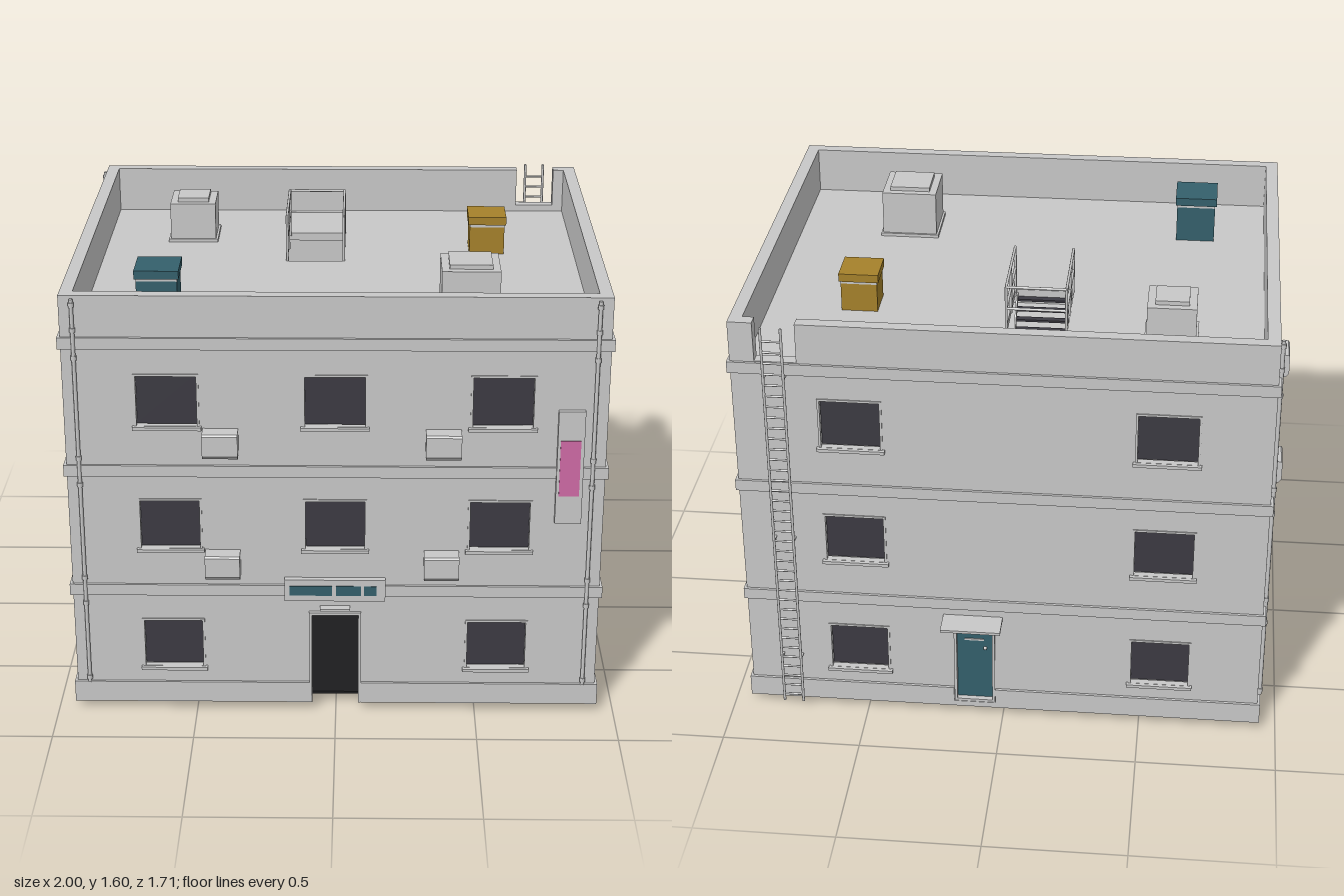
import * as THREE from 'three';

const mat = (name, color) => {
  const m = new THREE.MeshStandardMaterial({ color });
  m.name = name;
  return m;
};
const grey = mat('concrete grey', 0xc8c8c8);
const dark = mat('dark glass', 0x3c3a42);
const teal = mat('teal paint', 0x34606c);
const mustard = mat('mustard paint', 0xa5812a);
const pink = mat('pink sign', 0xcf6aa5);
const black = mat('black underside', 0x1c1c1e);

const add = (parent, name, geo, material, x = 0, y = 0, z = 0) => {
  const m = new THREE.Mesh(geo, material);
  m.name = name;
  m.position.set(x, y, z);
  parent.add(m);
  return m;
};
// Box given by its limits on each axis
const box = (p, name, material, x0, x1, y0, y1, z0, z1) =>
  add(p, name, new THREE.BoxGeometry(x1 - x0, y1 - y0, z1 - z0), material, (x0 + x1) / 2, (y0 + y1) / 2, (z0 + z1) / 2);
// Round bar between two points
const bar = (p, name, a, b, r, material = grey) => {
  const A = new THREE.Vector3(...a), B = new THREE.Vector3(...b), d = B.clone().sub(A);
  const m = add(p, name, new THREE.CylinderGeometry(r, r, d.length(), 8), material);
  m.position.copy(A).add(B).multiplyScalar(0.5);
  m.quaternion.setFromUnitVectors(new THREE.Vector3(0, 1, 0), d.normalize());
  return m;
};
const shapeOf = pts => new THREE.Shape(pts.map(p => new THREE.Vector2(...p)));
const rect = (x0, x1, y0, y1) => [[x0, y0], [x1, y0], [x1, y1], [x0, y1]];
const extrude = (shape, depth) => new THREE.ExtrudeGeometry(shape, { depth, bevelEnabled: false });
const frame = (p, name, x0, x1, y0, y1, z0, z1, w) => {
  const s = shapeOf(rect(x0, x1, y0, y1));
  s.holes.push(new THREE.Path(rect(x0 + w, x1 - w, y0 + w, y1 - w).map(q => new THREE.Vector2(...q))));
  add(p, name, extrude(s, z1 - z0), grey, 0, 0, z0);
};

const T = 0.045, BASE = 0.03, TOP = 1.58, W = 0.215, H = 0.19, CZ = 0.015;
const SILLS = [0.17, 0.64, 1.105];

// Facade in local space: u across, y up, z = 0 on the outer wall surface
function facade(parent, name, angle, dist, outline, windows, holes = []) {
  const pivot = new THREE.Group(), g = new THREE.Group();
  pivot.name = name;
  pivot.position.z = CZ;
  pivot.rotation.y = angle;
  g.position.z = dist;
  pivot.add(g);
  parent.add(pivot);
  const s = shapeOf(outline);
  const rects = windows.map(([u, y]) => rect(u - W / 2, u + W / 2, y, y + H)).concat(holes);
  for (const r of rects) s.holes.push(new THREE.Path(r.map(q => new THREE.Vector2(...q))));
  add(g, name + 'Wall', extrude(s, T), grey, 0, 0, -T);
  for (const [u, y] of windows) {
    box(g, 'windowGlass', dark, u - W / 2, u + W / 2, y, y + H, -0.036, -0.028);
    frame(g, 'windowFrame', u - W / 2 - 0.004, u + W / 2 + 0.004, y - 0.004, y + H + 0.004, -0.02, 0.004, 0.008);
    box(g, 'windowSill', grey, u - W / 2 - 0.011, u + W / 2 + 0.011, y - 0.009, y + 0.003, -0.02, 0.017);
  }
  return g;
}
function bands(g, half, gap) {
  for (const y of [0.46, 0.92, 1.39]) box(g, 'floorBand', grey, -half, half, y, y + 0.042, 0, 0.01);
  const parts = gap ? [[-half, gap[0]], [gap[1], half]] : [[-half, half]];
  for (const [a, b] of parts) box(g, 'plinth', grey, a, b, BASE, 0.11, 0, 0.01);
}
function coolingUnit(g, u, y, depth) {
  const s = shapeOf([[0, 0], [depth - 0.012, 0], [depth, 0.014], [depth, 0.086], [depth - 0.005, 0.093], [0, 0.093]]);
  add(g, 'coolingUnit', extrude(s, 0.122), grey, u + 0.061, y, 0).rotation.y = -Math.PI / 2;
}
function drainPipe(g, u) {
  bar(g, 'drainPipe', [u, 0.11, 0.009], [u, 1.57, 0.009], 0.007);
  for (const y of [0.13, 0.43, 0.53, 0.89, 0.99, 1.36, 1.46, 1.55])
    add(g, 'pipeCollar', new THREE.CylinderGeometry(0.01, 0.01, 0.016, 10), grey, u, y, 0.009);
}

// Storage crate with a lid and a pale seam
function crate(p, name, material, x0, x1, y0, y1, z0, z1) {
  const i = 0.006;
  box(p, name + 'Body', material, x0 + i, x1 - i, y0, y1 - 0.04, z0 + i, z1 - i);
  box(p, name + 'Seam', grey, x0 + i, x1 - i, y1 - 0.04, y1 - 0.03, z0 + i, z1 - i);
  box(p, name + 'Lid', material, x0, x1, y1 - 0.03, y1, z0, z1);
}
// Roof vent with base flange and raised cap
function vent(p, x0, x1, y1, z0, z1) {
  const i = 0.008;
  box(p, 'ventFlange', grey, x0, x1, 1.41, 1.422, z0, z1);
  box(p, 'ventBody', grey, x0 + i, x1 - i, 1.42, y1 - 0.015, z0 + i, z1 - i);
  box(p, 'ventCap', grey, x0 + 0.035, x1 - 0.035, y1 - 0.016, y1, z0 + 0.035, z1 - 0.035);
}

export function createModel() {
  const root = new THREE.Group();
  root.name = 'apartmentBlock';

  // Front with the entrance opening
  const cols = [-0.578, -0.002, 0.572];
  const frontWin = SILLS.flatMap((y, i) => cols.filter((_, c) => i || c !== 1).map(u => [u, y]));
  const front = facade(root, 'front', 0, 0.775,
    [[-0.93, BASE], [-0.085, BASE], [-0.085, 0.385], [0.08, 0.385], [0.08, BASE], [0.93, BASE], [0.93, TOP], [-0.93, TOP]], frontWin);
  bands(front, 0.94, [-0.095, 0.09]);
  for (const u of [-0.395, 0.37]) for (const y of [0.545, 1.007]) coolingUnit(front, u, y, 0.063);
  for (const u of [-0.885, 0.885]) drainPipe(front, u);
  for (const u of [-0.095, 0.08]) box(front, 'entranceJamb', grey, u, u + 0.01, BASE, 0.385, -T, 0.012);
  box(front, 'entranceLintel', grey, -0.095, 0.09, 0.385, 0.395, -T, 0.012);
  box(front, 'entranceLamp', grey, -0.055, 0.05, 0.411, 0.419, 0, 0.03);
  box(front, 'entranceSign', grey, -0.18, 0.175, 0.447, 0.53, 0, 0.022);
  for (const [a, b] of [[-0.163, -0.013], [0.002, 0.09], [0.1, 0.144]])
    box(front, 'entranceSignPanel', teal, a, b, 0.47, 0.507, 0.02, 0.025);
  box(front, 'verticalSign', grey, 0.76, 0.852, 0.755, 1.175, 0, 0.02);
  box(front, 'verticalSignPanel', pink, 0.77, 0.84, 0.86, 1.068, 0.018, 0.023);

  // Back with door, canopy, ladder and parapet gap
  const back = facade(root, 'back', Math.PI, 0.775,
    [[-0.93, BASE], [0.93, BASE], [0.93, TOP], [-0.7, TOP], [-0.7, 1.435], [-0.845, 1.435], [-0.845, TOP], [-0.93, TOP]],
    SILLS.flatMap(y => [[-0.525, y], [0.57, y]]), [rect(-0.172, -0.035, 0.06, 0.38)]);
  bands(back, 0.94, [-0.18, -0.028]);
  box(back, 'backDoor', teal, -0.172, -0.035, 0.06, 0.38, -0.035, -0.012);
  frame(back, 'backDoorFrame', -0.178, -0.029, 0.052, 0.388, -T, 0.008, 0.01);
  box(back, 'doorWindow', grey, -0.14, -0.07, 0.315, 0.322, -0.014, -0.008);
  for (const z of [-0.006, -0.041]) add(back, 'doorKnob', new THREE.SphereGeometry(0.007, 10, 8), grey, -0.065, 0.285, z);
  box(back, 'doorStep', grey, -0.18, -0.028, BASE, 0.052, -T, 0.01);
  box(back, 'doorCanopy', grey, -0.215, 0, 0.42, 0.43, 0, 0.1);
  for (const u of [-0.81, -0.74]) {
    bar(back, 'ladderRail', [u, BASE, 0.035], [u, TOP, 0.035], 0.005);
    for (const y of [0.22, 0.73, 1.385]) bar(back, 'ladderBracket', [u, y, 0], [u, y, 0.035], 0.004);
  }
  for (let y = 0.06; y < 1.56; y += 0.042) bar(back, 'ladderRung', [-0.81, y, 0.035], [-0.74, y, 0.035], 0.004);

  // Sides
  for (const s of [1, -1]) {
    const h = 0.775 - T;
    const side = facade(root, s > 0 ? 'leftSide' : 'rightSide', s * Math.PI / 2, 0.93, rect(-h, h, BASE, TOP),
      SILLS.flatMap(y => [[-s * 0.42, y], [s * 0.36, y]]));
    bands(side, 0.775);
    for (const y of [0.545, 1.01]) coolingUnit(side, -s * 0.125, y, 0.07);
    if (s < 0) drainPipe(side, -0.715);
  }

  // Floors and roof with a stair opening
  box(root, 'groundFloor', black, -0.89, 0.89, 0.036, 0.046, -0.72, 0.75);
  for (const y of [0.48, 0.94, 1.41]) {
    const s = shapeOf(rect(-0.89, 0.89, -0.75, 0.72));
    s.holes.push(new THREE.Path(rect(-0.195, 0.02, 0.08, 0.42).map(q => new THREE.Vector2(...q))));
    add(root, y > 1 ? 'roof' : 'floorSlab', extrude(s, 0.03), grey, 0, y - 0.03, 0).rotation.x = -Math.PI / 2;
  }

  // Stair flights
  for (let f = 0; f < 3; f++) {
    const y0 = f * 0.465, n = 16;
    const s = shapeOf([[-0.53, 0], [-0.11, 0.43], [-0.085, 0.47], [-0.11, 0.47], [-0.558, 0.03]]);
    for (const x of [-0.183, 0.013])
      add(root, 'stairStringer', extrude(s, 0.006), grey, x, y0, 0).rotation.y = -Math.PI / 2;
    for (let i = 0; i < n; i++) {
      const z = -0.53 + i * 0.028, y = y0 + 0.05 + i * 0.027;
      box(root, 'stairTread', dark, -0.183, 0.007, y - 0.008, y, z, z + 0.026);
    }
  }

  // Guard rail around the stair opening
  const zs = [-0.415, -0.25, -0.085];
  for (const x of [-0.193, 0.018]) {
    for (const z of zs) bar(root, 'guardPost', [x, 1.4, z], [x, 1.583, z], 0.005);
    for (const y of [1.5, 1.583]) bar(root, 'guardRail', [x, y, zs[0]], [x, y, zs[2]], 0.005);
  }
  for (const y of [1.5, 1.583]) bar(root, 'guardRail', [-0.193, y, zs[0]], [0.018, y, zs[0]], 0.005);

  // Roof equipment and crates inside the entrance
  vent(root, 0.355, 0.575, 1.6, 0.332, 0.553);
  vent(root, -0.655, -0.467, 1.575, -0.49, -0.3);
  crate(root, 'tealCrate', teal, -0.7, -0.545, 1.41, 1.585, 0.395, 0.553);
  crate(root, 'mustardCrate', mustard, 0.485, 0.627, 1.41, 1.555, -0.31, -0.167);
  crate(root, 'hallTealCrate', teal, -0.45, -0.28, 0.046, 0.24, 0.36, 0.53);
  crate(root, 'hallMustardCrate', mustard, -0.17, -0.03, 0.046, 0.155, -0.05, 0.09);
  return root;
}
